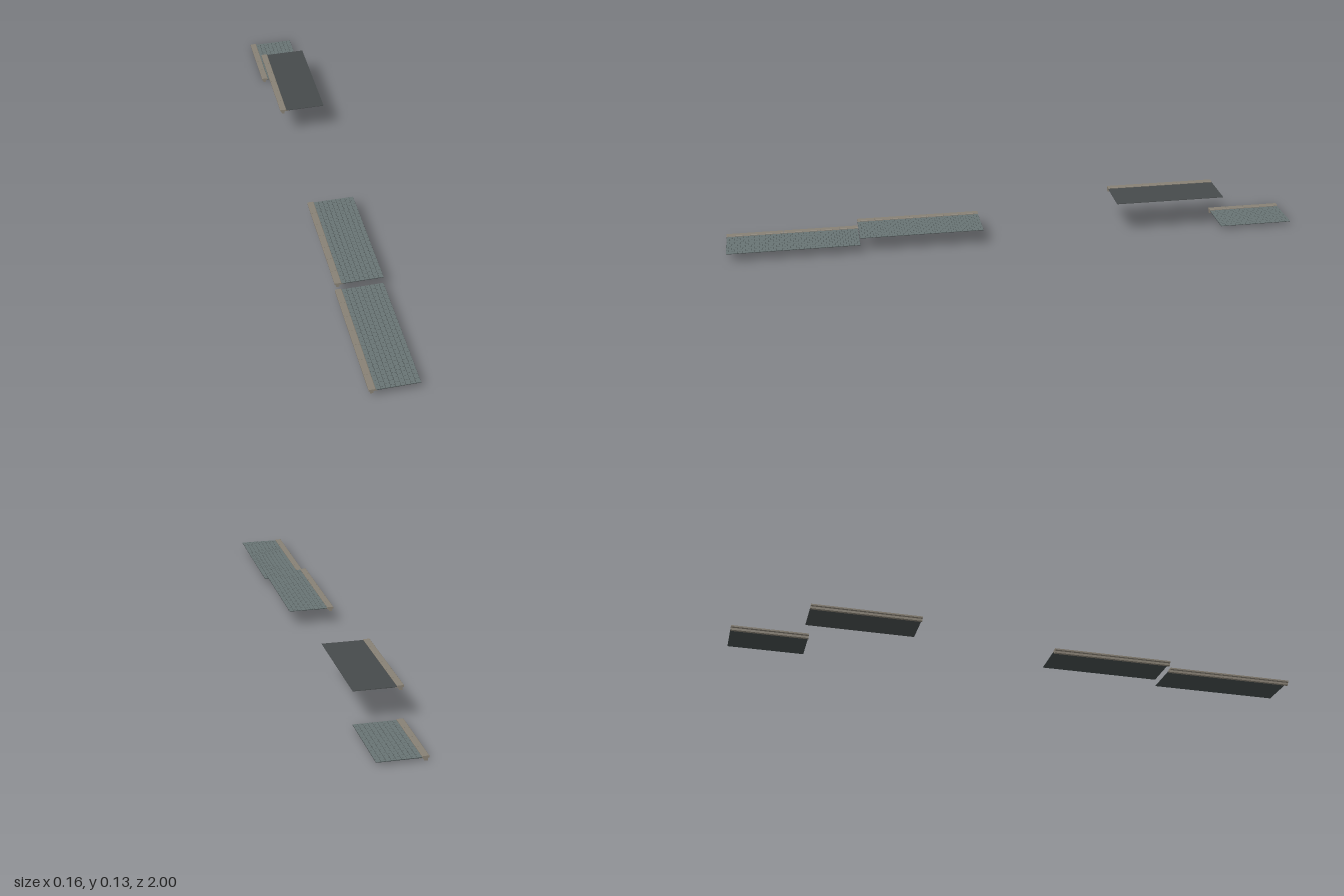
import * as THREE from 'three';
import { mergeGeometries } from 'three/addons/utils/BufferGeometryUtils.js';

const mat = (color) => new THREE.MeshStandardMaterial({ color, flatShading: true });
const curbMat = mat(0x878074);
const paverMat = mat(0x687373);
const beddingMat = mat(0x414949);
const asphaltMat = mat(0x464a4b);

const INNER = -0.06, OUTER = 0.081;

// Extrudes an x/y outline along z, from z0 to z1
function extrudeZ(points, z0, z1) {
  const shape = new THREE.Shape(points.map(([x, y]) => new THREE.Vector2(x, y)));
  return new THREE.ExtrudeGeometry(shape, { depth: z1 - z0, bevelEnabled: false }).translate(0, 0, z0);
}

function add(group, name, geometry, material) {
  const mesh = new THREE.Mesh(geometry, material);
  mesh.name = name;
  group.add(mesh);
}

// Row of kerb stones: a wide cap on a narrow foot, plus a gutter lip
function curb(length) {
  const profile = [
    [-0.077, 0], [-0.067, 0], [-0.067, 0.0085], [-0.052, 0.0095], [-0.052, 0.0115],
    [-0.06, 0.012], [-0.06, 0.0145], [-0.0615, 0.0155], [-0.0805, 0.0155],
    [-0.082, 0.0145], [-0.082, 0.0095], [-0.077, 0.0075],
  ];
  const count = Math.round(length / 0.064), step = length / count;
  const stones = [];
  for (let i = 0; i < count; i++) {
    const z = -length / 2 + i * step;
    stones.push(extrudeZ(profile, z + (i ? 0.0004 : 0), z + step - (i < count - 1 ? 0.0004 : 0)));
  }
  return mergeGeometries(stones);
}

// Thin sheet rising slightly towards the outer edge
function slab(length, top) {
  return extrudeZ([
    [INNER, 0.0102], [OUTER, 0.0117], [OUTER, 0.0129 + top], [INNER, 0.0119 + top],
  ], -length / 2, length / 2);
}

// Staggered paving stones laid on the sheet
function pavers(length) {
  const columns = 9, width = (OUTER - INNER) / columns;
  const rows = Math.round(length / 0.019), step = length / rows;
  const gap = 0.0012, tiles = [];
  for (let c = 0; c < columns; c++) {
    const shift = c % 2 ? step / 2 : 0;
    for (let r = 0; r <= rows; r++) {
      const a = Math.max(-length / 2, -length / 2 + r * step - shift);
      const b = Math.min(length / 2, -length / 2 + (r + 1) * step - shift);
      if (b - a < step * 0.2) continue;
      const x = INNER + (c + 0.5) * width;
      const y = 0.0122 + 0.001 * (c + 0.5) / columns;
      tiles.push(new THREE.BoxGeometry(width - gap, 0.001, b - a - gap).translate(x, y, (a + b) / 2));
    }
  }
  return mergeGeometries(tiles);
}

function pavement({ name, y, z0, z1, paved }) {
  const length = z1 - z0;
  const group = new THREE.Group();
  group.name = name;
  add(group, 'curb', curb(length), curbMat);
  add(group, paved ? 'bedding' : 'asphalt', slab(length, paved ? 0 : 0.0006), paved ? beddingMat : asphaltMat);
  if (paved) add(group, 'pavers', pavers(length), paverMat);
  group.position.set(0, y, (z0 + z1) / 2);
  return group;
}

export function createModel() {
  const model = new THREE.Group();
  model.name = 'pavementSections';
  [
    { name: 'frontPavement', y: 0.0225, z0: 0.545, z1: 1, paved: true },
    { name: 'middlePavement', y: 0.048, z0: 0.117, z1: 0.545, paved: true },
    { name: 'asphaltPavement', y: 0.1125, z0: -0.742, z1: -0.357, paved: false },
    { name: 'rearPavement', y: 0, z0: -1, z1: -0.742, paved: true },
  ].forEach((section) => model.add(pavement(section)));
  return model;
}
